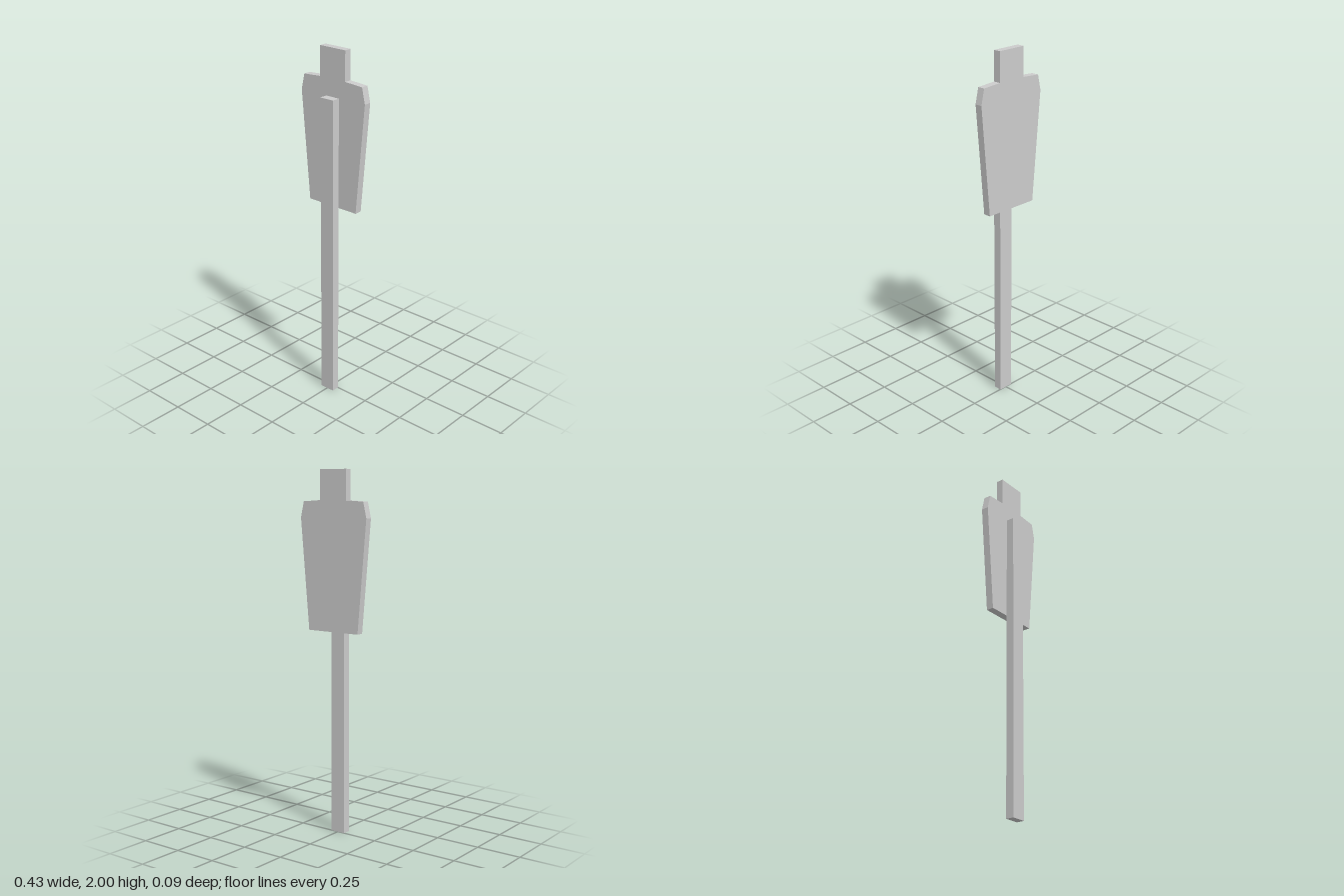
import * as THREE from 'three';

export function createModel() {
  const group = new THREE.Group();
  const material = new THREE.MeshStandardMaterial({ color: 0xcccccc, flatShading: true });

  // Flat silhouette board: right half of the outline, mirrored
  const half = [[0.163, 1.134], [0.217, 1.745], [0.197, 1.831], [0.085, 1.838], [0.085, 2]];
  const mirrored = half.map(([x, y]) => [-x, y]).reverse();
  const outline = new THREE.Shape([...half, ...mirrored].map(([x, y]) => new THREE.Vector2(x, y)));
  const boardGeometry = new THREE.ExtrudeGeometry(outline, { depth: 0.042, bevelEnabled: false });
  const board = new THREE.Mesh(boardGeometry, material);
  board.name = 'silhouetteBoard';
  board.position.z = -0.044;
  group.add(board);

  // Square post fixed to the front of the board
  const postHeight = 1.742;
  const post = new THREE.Mesh(new THREE.BoxGeometry(0.087, postHeight, 0.046), material);
  post.name = 'post';
  post.position.set(0, postHeight / 2, 0.021);
  group.add(post);

  return group;
}
